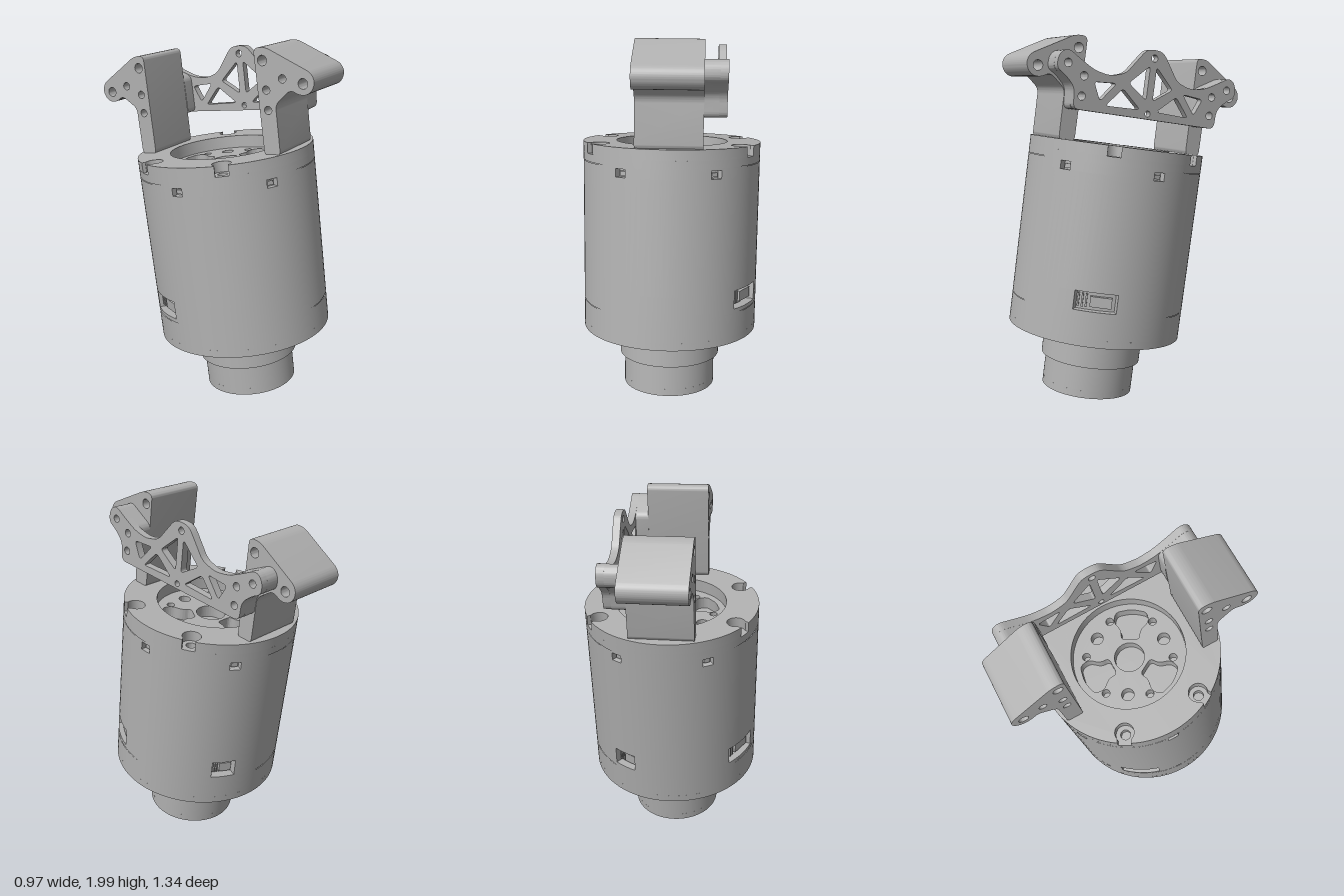
import * as THREE from 'three';
import { toCreasedNormals } from 'three/addons/utils/BufferGeometryUtils.js';

const R = 0.483, DEG = Math.PI / 180;
const V = (x, y) => new THREE.Vector2(x, y);
// point on the housing plan, angle measured from the front towards +x
const polar = (r, a) => V(r * Math.sin(a), -r * Math.cos(a));
const circle = (c, r) => new THREE.Path().absarc(c.x, c.y, r, 0, Math.PI * 2);
const discShape = r => new THREE.Shape().absarc(0, 0, r, 0, Math.PI * 2);

// polygon with rounded corners
function rounded(points, r, Type = THREE.Shape) {
  const p = points.map(q => V(q[0], q[1])), n = p.length, path = new Type();
  p.forEach((c, i) => {
    const a = p[(i + n - 1) % n], b = p[(i + 1) % n];
    const s = c.clone().add(a.clone().sub(c).setLength(Math.min(r, a.distanceTo(c) / 2)));
    const e = c.clone().add(b.clone().sub(c).setLength(Math.min(r, b.distanceTo(c) / 2)));
    if (i) path.lineTo(s.x, s.y); else path.moveTo(s.x, s.y);
    path.quadraticCurveTo(c.x, c.y, e.x, e.y);
  });
  path.closePath();
  return path;
}

function extrude(shape, depth, curveSegments) {
  return new THREE.ExtrudeGeometry(shape, { depth, bevelEnabled: false, curveSegments });
}
// plan shape extruded upwards
function slab(shape, y0, y1, seg = 80) {
  return toCreasedNormals(extrude(shape, y1 - y0, seg).rotateX(-Math.PI / 2).translate(0, y0, 0), 0.5);
}
// side profile (z, y) extruded across x
function across(shape, x0, x1) {
  return toCreasedNormals(extrude(shape, x1 - x0, 10).rotateY(-Math.PI / 2).translate(x1, 0, 0), 0.5);
}

// hole pattern shared by the top and bottom hub faces
function hubHoles(s) {
  const holes = [circle(V(0, 0), 0.08 * s)];
  for (let k = 0; k < 3; k++) {
    const a = (60 + 120 * k) * DEG, o = V(0, 0);
    const pts = [[0.05, -0.1], [0.05, -0.15], [0.095, -0.2], [0.085, -0.255], [0, -0.272],
      [-0.085, -0.255], [-0.095, -0.2], [-0.05, -0.15], [-0.05, -0.1]]
      .map(q => V(q[0] * s, q[1] * s).rotateAround(o, a)).map(q => [q.x, q.y]);
    holes.push(rounded(pts, 0.025 * s, THREE.Path));
    holes.push(circle(polar(0.207 * s, 120 * k * DEG), 0.033 * s));
  }
  for (let k = 0; k < 6; k++) holes.push(circle(polar(0.232 * s, (30 + 60 * k) * DEG), 0.021 * s));
  return holes;
}

// cylindrical wall with rectangular openings {a, h, y0, y1}
function wall(y0, y1, openings) {
  const th = [], ys = [y0, y1], pos = [], nor = [], idx = [];
  for (let i = 0; i <= 96; i++) th.push(i / 96 * Math.PI * 2);
  for (const o of openings) { th.push(o.a - o.h, o.a + o.h); ys.push(o.y0, o.y1); }
  th.sort((a, b) => a - b);
  ys.sort((a, b) => a - b);
  for (const y of ys) for (const t of th) {
    pos.push(R * Math.sin(t), y, R * Math.cos(t));
    nor.push(Math.sin(t), 0, Math.cos(t));
  }
  const n = th.length;
  for (let j = 0; j < ys.length - 1; j++) for (let i = 0; i < n - 1; i++) {
    const t = (th[i] + th[i + 1]) / 2, y = (ys[j] + ys[j + 1]) / 2;
    if (openings.some(o => Math.abs(t - o.a) < o.h && y > o.y0 && y < o.y1)) continue;
    const a = j * n + i;
    idx.push(a, a + 1, a + n + 1, a, a + n + 1, a + n);
  }
  const g = new THREE.BufferGeometry();
  g.setAttribute('position', new THREE.Float32BufferAttribute(pos, 3));
  g.setAttribute('normal', new THREE.Float32BufferAttribute(nor, 3));
  g.setIndex(idx);
  return g;
}

// inward-facing liner of a wall opening
function pocket(o, depth) {
  const pts = [];
  for (let i = 0; i <= 8; i++) pts.push(polar(R, o.h * (i / 4 - 1)));
  for (let i = 8; i >= 0; i--) pts.push(polar(R - depth, o.h * (i / 4 - 1)));
  const g = extrude(new THREE.Shape(pts), o.y1 - o.y0, 1).rotateX(-Math.PI / 2).translate(0, o.y0, 0);
  g.scale(-1, 1, 1).computeVertexNormals();
  return g.rotateY(o.a);
}

export function createModel() {
  const model = new THREE.Group(), body = new THREE.Group();
  const grey = new THREE.MeshStandardMaterial({ color: 0xb0b0b0 });
  grey.name = 'grey';
  const add = (name, geometry) => {
    const m = new THREE.Mesh(geometry, grey);
    m.name = name;
    body.add(m);
    return m;
  };
  body.name = 'tiltedAssembly';
  body.position.set(0, 0.39, 0.183);
  body.rotation.set(-0.1435, 0.05, 0);
  model.add(body);

  // housing wall with ports and connector openings
  const ports = [], sockets = [];
  for (let k = 0; k < 6; k++) ports.push({ a: (30 + 60 * k) * DEG, h: 0.062, y0: 0.887, y1: 0.93 });
  for (const [deg, h] of [[60, 0.235], [151, 0.14], [240, 0.235]])
    sockets.push({ a: deg * DEG, h, y0: 0.185, y1: 0.285 });
  add('housingWall', wall(0.163, 0.937, [...ports, ...sockets]));
  add('housingLowerWall', wall(0.04, 0.16, []));
  for (const y of [0.1615, 0.9385])
    add('seam', new THREE.CylinderGeometry(R - 0.004, R - 0.004, 0.012, 96, 1, true).translate(0, y, 0));
  for (const o of ports) {
    add('portRecess', pocket(o, 0.035));
    add('portClip', new THREE.BoxGeometry(0.034, 0.022, 0.02).translate(0, 0.906, R - 0.03).rotateY(o.a));
  }
  for (const o of sockets) {
    add('socketRecess', pocket(o, 0.05));
    const w = o.h * R * 2;
    add('socketPlug', new THREE.BoxGeometry(w * 0.5, 0.055, 0.04)
      .translate(w * 0.12, 0.232, R - 0.045).rotateY(o.a));
    for (let i = 0; i < 3; i++)
      add('socketPin', new THREE.BoxGeometry(w * 0.04, 0.07, 0.03)
        .translate(w * (-0.4 + i * 0.09), 0.235, R - 0.045).rotateY(o.a));
  }

  // top cap with four open screw notches
  const outline = [], notchAngles = [60, 120, 240, 300].map(d => d * DEG), notchR = 0.426;
  const delta = Math.asin(0.035 / R);
  notchAngles.forEach((a, k) => {
    for (let i = 0; i <= 14; i++) {
      const t = -0.775 - i / 14 * (Math.PI * 2 - 1.55);
      const p = notchR + 0.05 * Math.cos(t), q = 0.05 * Math.sin(t);
      if (i === 0) outline.push(polar(R, a - delta));
      outline.push(polar(Math.hypot(p, q), a + Math.atan2(q, p)));
    }
    const end = k < 3 ? notchAngles[k + 1] : notchAngles[0] + Math.PI * 2;
    for (let i = 0; i < 32; i++) outline.push(polar(R, a + delta + (end - a - 2 * delta) * i / 32));
  });
  const cap = new THREE.Shape(outline);
  cap.holes.push(circle(V(0, 0), 0.303));
  add('topCap', slab(cap, 0.982, 1.037));
  const seat = discShape(R);
  seat.holes.push(circle(V(0, 0), 0.303), ...notchAngles.map(a => circle(polar(notchR, a), 0.026)));
  add('capSeat', slab(seat, 0.94, 0.982));
  add('screwFloor', new THREE.RingGeometry(0.31, 0.47, 64).rotateX(-Math.PI / 2).translate(0, 0.942, 0));

  // recessed hub face on top
  const hub = discShape(0.31);
  hub.holes.push(...hubHoles(1));
  add('topHub', slab(hub, 0.9, 0.967));
  add('topHubFloor', new THREE.CircleGeometry(0.3, 64).rotateX(-Math.PI / 2).translate(0, 0.901, 0));

  // underside plate and stepped output boss
  const base = discShape(R);
  for (let k = 0; k < 6; k++) base.holes.push(circle(polar(0.38, (30 + 60 * k) * DEG), 0.02));
  add('basePlate', slab(base, 0, 0.04));
  add('baseHoleFloor', new THREE.CircleGeometry(0.45, 64).rotateX(Math.PI / 2).translate(0, 0.038, 0));
  add('upperBoss', new THREE.CylinderGeometry(0.28, 0.28, 0.174, 80).translate(0, -0.085, 0));
  add('lowerBoss', new THREE.CylinderGeometry(0.255, 0.255, 0.14, 80).translate(0, -0.24, 0));
  const face = discShape(0.255);
  face.holes.push(...hubHoles(0.82));
  add('bottomHub', slab(face, -0.349, -0.31));

  // mounting blocks and spacer pads, mirrored front to back
  const side = [[0.49, 1.414], [0.395, 1.363], [0.395, 1.262]];
  const bores = (s, list, r) => list.map(q => circle(V(q[0] * s, q[1]), r));
  for (const [s, name] of [[1, 'front'], [-1, 'rear']]) {
    const mirror = pts => pts.map(q => [q[0] * s, q[1]]);
    const block = rounded(mirror([[0.35, 1.03], [0.44, 1.03], [0.44, 1.29], [0.53, 1.36], [0.58, 1.328],
      [0.635, 1.335], [0.665, 1.385], [0.65, 1.435], [0.41, 1.572], [0.345, 1.572]]), 0.03);
    block.holes.push(...bores(s, side, 0.021), ...bores(s, [[0.6, 1.386], [0.388, 1.508]], 0.026));
    add(name + 'Block', across(block, -0.172, 0.172));
    const pad = rounded(mirror([[0.345, 1.193], [0.435, 1.193], [0.44, 1.3], [0.5, 1.355], [0.55, 1.38],
      [0.545, 1.45], [0.5, 1.483], [0.42, 1.44], [0.345, 1.4]]), 0.03);
    pad.holes.push(...bores(s, side, 0.021));
    add(name + 'SpacerPad', across(pad, 0.172, 0.246));
  }

  // lattice side plate joining the two blocks
  const half = [[0.435, 1.193], [0.44, 1.3], [0.5, 1.355], [0.55, 1.38], [0.545, 1.45], [0.5, 1.485],
    [0.42, 1.44], [0.34, 1.4], [0.25, 1.385], [0.16, 1.41], [0.06, 1.54], [0.03, 1.555]];
  const plate = rounded([...half, ...half.map(q => [-q[0], q[1]]).reverse()], 0.035);
  const cuts = [[[0.02, 1.47], [0.02, 1.29], [0.135, 1.365]],
    [[0.255, 1.232], [0.05, 1.238], [0.165, 1.332]],
    [[0.335, 1.342], [0.205, 1.352], [0.29, 1.25]]];
  for (const s of [1, -1]) {
    for (const c of cuts) plate.holes.push(rounded(c.map(q => [q[0] * s, q[1]]), 0.02, THREE.Path));
    plate.holes.push(...bores(s, side, 0.021));
  }
  plate.holes.push(circle(V(0, 1.512), 0.019), circle(V(0, 1.222), 0.016));
  add('latticePlate', across(plate, 0.245, 0.286));

  return model;
}
